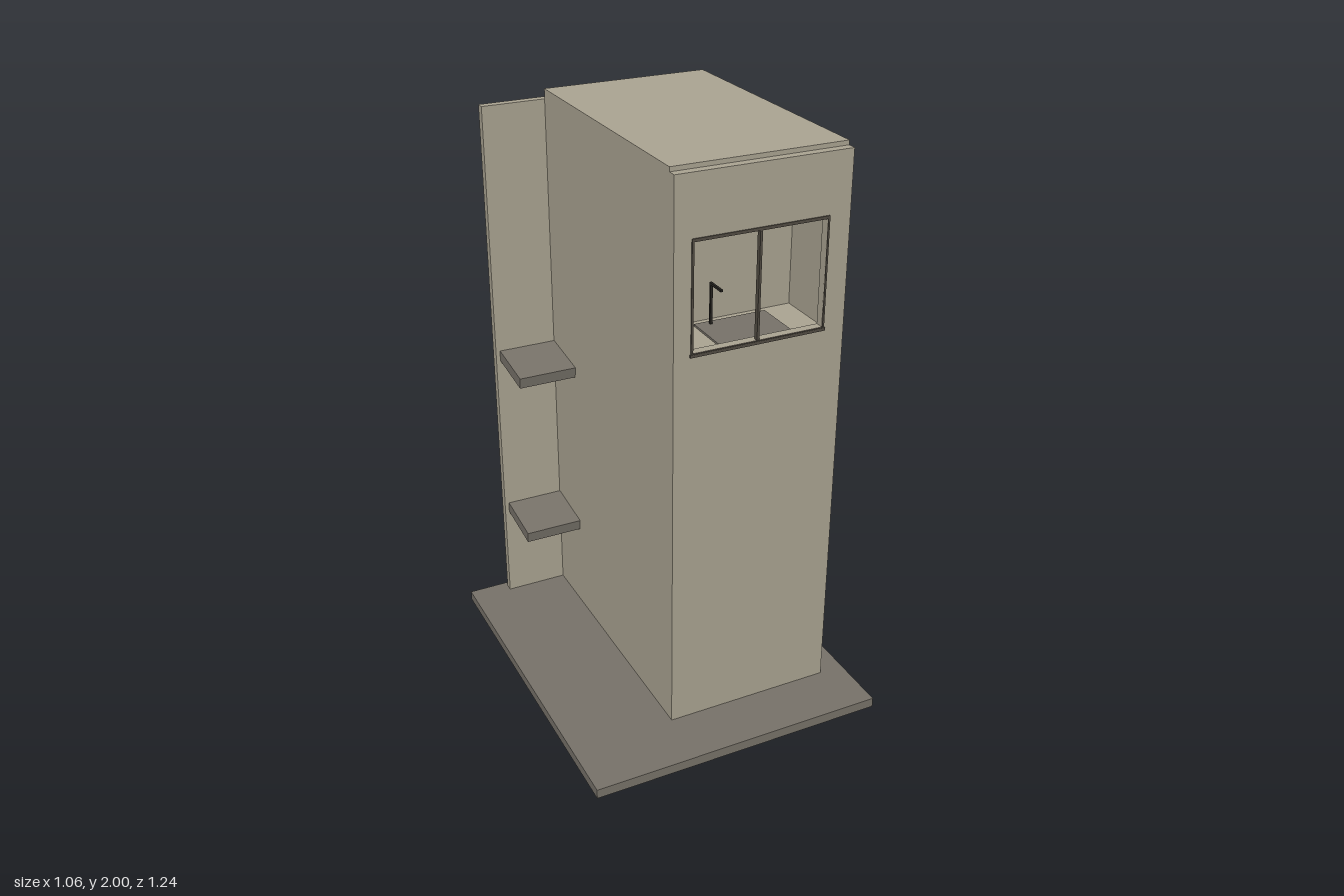
import * as THREE from 'three';

const mat = (name, color) => Object.assign(new THREE.MeshStandardMaterial({ color }), { name });

export function createModel() {
  const group = new THREE.Group();
  const body = mat('beige panel', 0xaca593);
  const dark = mat('grey brown board', 0x78736a);
  const trim = mat('dark window trim', 0x524c43);
  const metal = mat('black metal', 0x262420);

  // Box given by its minimum and maximum on each axis
  const box = (name, material, [x0, x1], [y0, y1], [z0, z1], parent = group) => {
    const mesh = new THREE.Mesh(new THREE.BoxGeometry(x1 - x0, y1 - y0, z1 - z0), material);
    mesh.position.set((x0 + x1) / 2, (y0 + y1) / 2, (z0 + z1) / 2);
    mesh.name = name;
    parent.add(mesh);
    return mesh;
  };
  const rectangle = (Type, x0, x1, y0, y1) => new Type([
    new THREE.Vector2(x0, y0), new THREE.Vector2(x1, y0),
    new THREE.Vector2(x1, y1), new THREE.Vector2(x0, y1),
  ]);
  // Upright plate with a rectangular opening
  const framePlate = (name, material, outer, inner, z, depth, parent = group) => {
    const shape = rectangle(THREE.Shape, ...outer);
    shape.holes.push(rectangle(THREE.Path, ...inner));
    const mesh = new THREE.Mesh(
      new THREE.ExtrudeGeometry(shape, { depth, bevelEnabled: false }), material);
    mesh.position.z = z;
    mesh.name = name;
    parent.add(mesh);
  };

  // Ground board
  box('base', dark, [-0.53, 0.53], [0, 0.035], [-0.62, 0.62]);

  // Hollow cabinet, solid below and behind the window compartment
  const cabinet = new THREE.Group();
  cabinet.name = 'cabinet';
  group.add(cabinet);
  box('lowerCabinet', body, [-0.16, 0.44], [0.035, 1.38], [-0.57, 0.385], cabinet);
  box('rearCabinet', body, [-0.16, 0.44], [1.38, 2], [-0.57, 0.13], cabinet);
  box('rightWall', body, [-0.16, -0.13], [1.38, 2], [0.13, 0.385], cabinet);
  box('leftWall', body, [0.41, 0.44], [1.38, 2], [0.13, 0.385], cabinet);
  box('roof', body, [-0.13, 0.41], [1.97, 2], [0.13, 0.385], cabinet);
  const opening = [-0.095, 0.36, 1.417, 1.775];
  framePlate('frontPanel', body, [-0.16, 0.44, 0.035, 1.985], opening, 0.385, 0.03, cabinet);

  // Wide back panel
  box('backPanel', body, [-0.385, 0.425], [0.035, 1.965], [-0.6, -0.57]);

  // Window frame, centre bar and sill
  const win = new THREE.Group();
  win.name = 'window';
  group.add(win);
  framePlate('windowFrame', trim, [-0.102, 0.366, 1.41, 1.785], opening, 0.412, 0.007, win);
  box('windowBar', trim, [0.126, 0.134], [1.417, 1.775], [0.40, 0.417], win);
  box('windowSill', trim, [-0.105, 0.37], [1.405, 1.415], [0.412, 0.42], win);

  // Small basin and tap inside the compartment
  const basin = new THREE.Group();
  basin.name = 'basin';
  group.add(basin);
  box('basinTop', dark, [0.04, 0.3], [1.38, 1.387], [0.16, 0.34], basin);
  box('tapStem', metal, [0.086, 0.094], [1.385, 1.53], [0.176, 0.184], basin);
  box('tapSpout', metal, [0.086, 0.094], [1.522, 1.53], [0.176, 0.25], basin);

  // Two side shelves, sloping down towards the front
  for (const y of [0.3975, 1.0375]) {
    const shelf = box('sideShelf', dark, [-0.37, -0.16], [y - 0.02, y + 0.02], [-0.571, -0.37]);
    shelf.rotation.x = 0.125;
  }
  return group;
}
